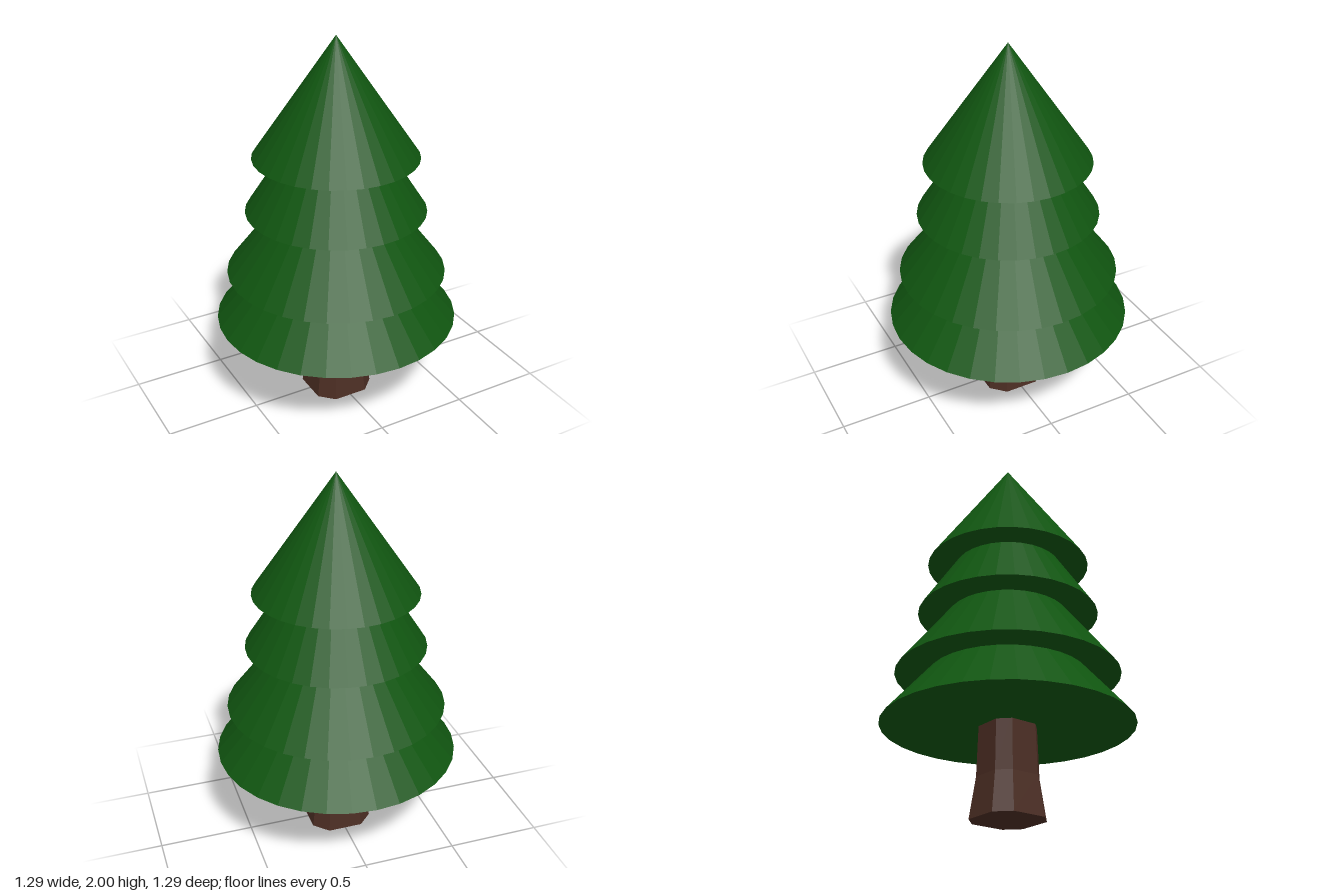
import * as THREE from 'three';

const leafGreen = new THREE.MeshStandardMaterial({ color: 0x105510 });
leafGreen.name = 'leafGreen';
const barkBrown = new THREE.MeshStandardMaterial({ color: 0x4b2d23 });
barkBrown.name = 'barkBrown';

// Flat-faceted mesh
function addPart(group, name, geometry, material) {
  const flat = geometry.toNonIndexed();
  flat.computeVertexNormals();
  const mesh = new THREE.Mesh(flat, material);
  mesh.name = name;
  group.add(mesh);
}

// Eight-sided trunk: a square with cut corners, flared at the foot
function trunkGeometry() {
  const levels = [[0, 0.166], [0.21, 0.137], [0.5, 0.128]]; // height, half width
  const corner = 0.56; // where the cut corner starts, as a share of half width
  const geometry = new THREE.CylinderGeometry(1, 1, 2, 8, 2, false, Math.PI / 8);
  const pos = geometry.attributes.position;
  for (let i = 0; i < pos.count; i++) {
    const [y, half] = levels[Math.round(pos.getY(i)) + 1];
    const place = (v) => {
      const size = Math.abs(v);
      if (size < 0.01) return 0;
      return Math.sign(v) * half * (size > 0.7 ? 1 : corner);
    };
    pos.setXYZ(i, place(pos.getX(i)), y, place(pos.getZ(i)));
  }
  return geometry;
}

export function createModel() {
  const tree = new THREE.Group();
  tree.name = 'pineTree';

  addPart(tree, 'trunk', trunkGeometry(), barkBrown);

  // Overlapping cones of foliage, lowest first: radius, base height, tip height
  const tiers = [
    [0.645, 0.47, 1.22],
    [0.58, 0.742, 1.49],
    [0.473, 1.085, 1.81],
    [0.43, 1.378, 2],
  ];
  tiers.forEach(([radius, base, tip], i) => {
    const cone = new THREE.ConeGeometry(radius, tip - base, 32);
    cone.translate(0, (base + tip) / 2, 0);
    addPart(tree, `foliageTier${i + 1}`, cone, leafGreen);
  });

  return tree;
}
